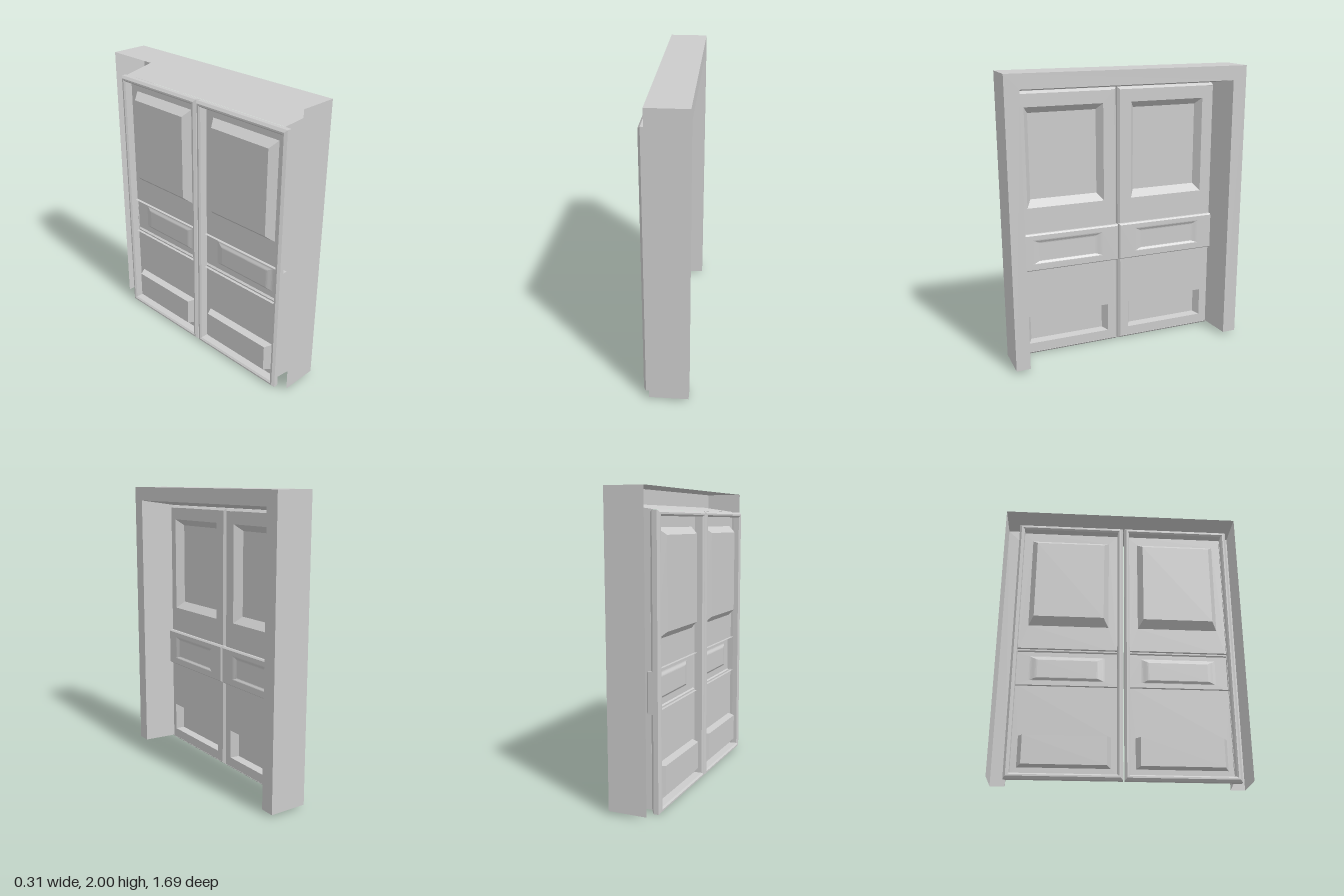
import * as THREE from 'three';

const material = new THREE.MeshStandardMaterial({
  color: 0xcccccc, flatShading: true, side: THREE.DoubleSide,
});

// Skin a series of equal-length point loops; optionally close each loop and cap the last one
function loft(name, loops, closed = true, cap = false) {
  const n = loops[0].length, index = [];
  for (let r = 0; r < loops.length - 1; r++) {
    for (let i = 0; i < (closed ? n : n - 1); i++) {
      const a = r * n + i, b = r * n + (i + 1) % n;
      index.push(a, b, b + n, a, b + n, a + n);
    }
  }
  if (cap) {
    const k = (loops.length - 1) * n;
    index.push(k, k + 1, k + 2, k, k + 2, k + 3);
  }
  const geometry = new THREE.BufferGeometry();
  geometry.setAttribute('position', new THREE.Float32BufferAttribute(loops.flat(2), 3));
  geometry.setIndex(index);
  geometry.computeVertexNormals();
  const mesh = new THREE.Mesh(geometry, material);
  mesh.name = name;
  return mesh;
}

// Rectangle loop: half width, bottom, top, depth
const rect = (h, y0, y1, w) => [[-h, y0, w], [h, y0, w], [h, y1, w], [-h, y1, w]];
// Doorway path: post, lintel, post
const arch = (h, top, w) => [[-h, 0.02, w], [-h, top, w], [h, top, w], [h, 0.02, w]];

const FACE = -0.09, HALF = 0.373, TOP = 1.863;

function createDoor(name) {
  const door = new THREE.Group();
  door.name = name;

  // Flat sheet with openings for the two recesses and the middle band
  const sheet = new THREE.Shape();
  const trace = (path, h, y0, y1) => {
    path.setFromPoints(rect(h, y0, y1, 0).map(([x, y]) => new THREE.Vector2(x, y)));
    path.closePath();
    return path;
  };
  trace(sheet, HALF - 0.015, 0.018, TOP - 0.018);
  for (const hole of [[0.275, 1.08, 1.76], [0.298, 0.085, 0.29], [0.335, 0.645, 0.89]]) {
    sheet.holes.push(trace(new THREE.Path(), ...hole));
  }
  const face = new THREE.Mesh(new THREE.ShapeGeometry(sheet), material);
  face.name = 'doorSheet';
  face.position.z = FACE;
  door.add(face);

  // Chamfered rim folded round to the back
  const rim = [[0.016, FACE], [0, -0.108], [0, -0.14], [0.015, -0.155],
    [0.026, -0.155], [0.036, -0.145], [0.036, FACE]];
  door.add(loft('doorRim', rim.map(([d, w]) => rect(HALF - d, d, TOP - d, w))));

  // Recessed panels
  door.add(loft('upperPanel',
    [rect(0.275, 1.08, 1.76, FACE), rect(0.239, 1.128, 1.715, -0.145)], true, true));
  door.add(loft('lowerPanel',
    [rect(0.298, 0.085, 0.29, FACE), rect(0.27, 0.094, 0.283, -0.145)], true, true));

  // Raised middle band with a shallow softened dent
  const band = [rect(HALF, 0.635, 0.9, -0.11), rect(HALF, 0.635, 0.9, -0.075),
    rect(HALF - 0.008, 0.643, 0.89, -0.065)];
  for (let i = 0; i <= 6; i++) {
    const t = i / 6, s = (1 - Math.cos(Math.PI * t)) / 2;
    band.push(rect(0.255 - 0.055 * t, 0.685 + 0.02 * t, 0.86 - 0.03 * t, -0.065 - 0.012 * s));
  }
  door.add(loft('middleBand', band, true, true));
  return door;
}

export function createModel() {
  const model = new THREE.Group();
  model.name = 'doubleDoor';

  // Everything is built facing +z, then turned to face +x
  const body = new THREE.Group();
  body.name = 'doorway';
  body.rotation.y = Math.PI / 2;
  model.add(body);

  // Hollow surround, open at the back and underneath, with a tapering opening
  body.add(loft('doorFrame', [arch(0.845, 2, -0.11), arch(0.845, 2, 0.15),
    arch(0.747, 1.902, 0.15), arch(0.72, 1.865, -0.11)], false));

  // Two door leaves
  for (const [name, offset] of [['leftDoor', -0.39], ['rightDoor', 0.365]]) {
    const door = createDoor(name);
    door.position.x = offset;
    body.add(door);
  }
  return model;
}
